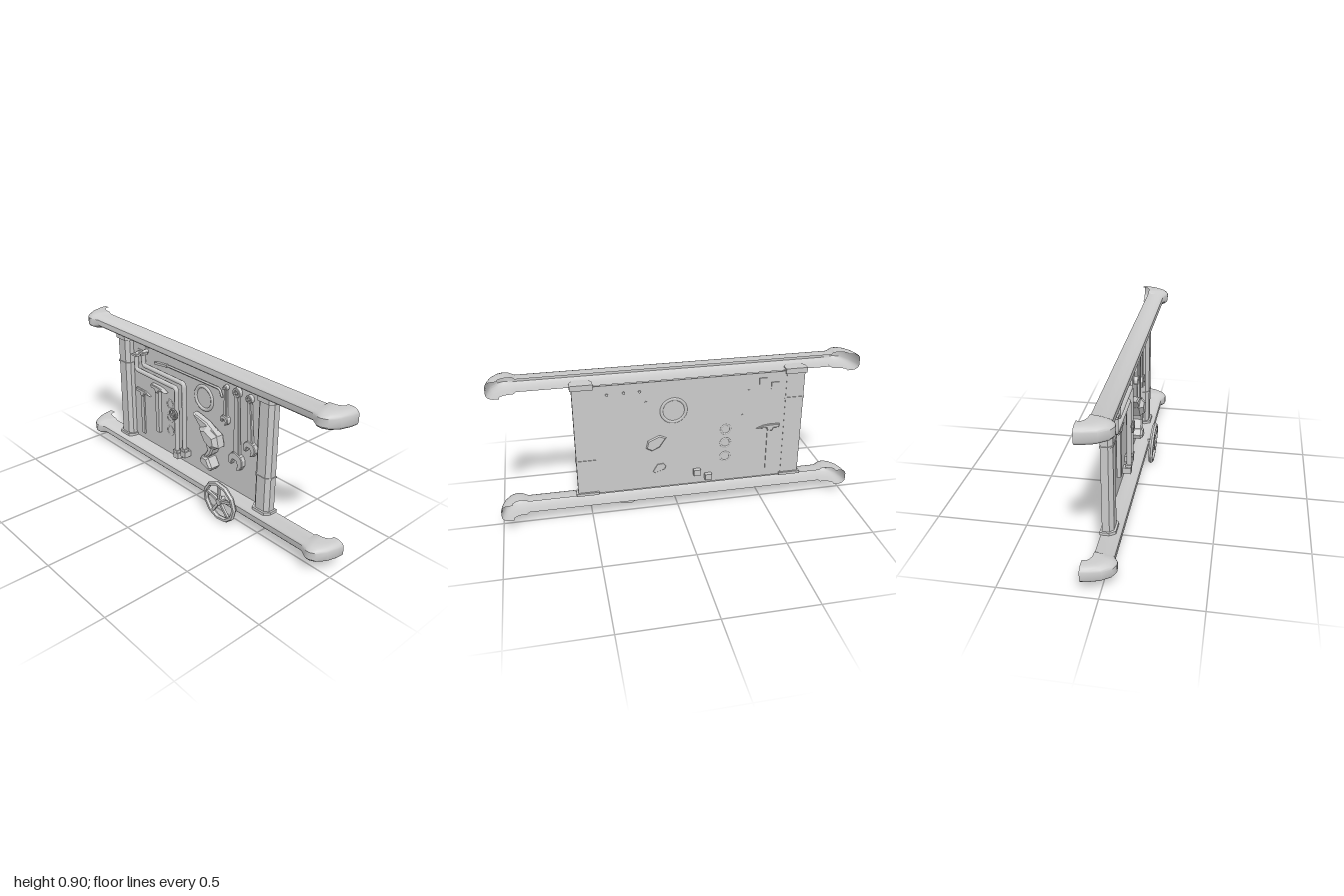
import * as THREE from 'three';
import { toCreasedNormals } from 'three/addons/utils/BufferGeometryUtils.js';

const flat = new THREE.MeshStandardMaterial({ color: 0xcccccc, flatShading: true, side: THREE.DoubleSide });
const smooth = new THREE.MeshStandardMaterial({ color: 0xcccccc, side: THREE.DoubleSide });

function add(parent, name, geo, x = 0, y = 0, z = 0, mat = flat) {
  const m = new THREE.Mesh(geo, mat);
  m.name = name;
  m.position.set(x, y, z);
  parent.add(m);
  return m;
}
const box = (w, h, d) => new THREE.BoxGeometry(w, h, d);
const shapeOf = pts => new THREE.Shape(pts.map(p => new THREE.Vector2(p[0], p[1])));

// Extrusion centred on z = 0 with a small bevel kept inside the given depth
function slab(shape, depth, bevel = 0.004) {
  const g = new THREE.ExtrudeGeometry(shape, {
    depth: depth - 2 * bevel, bevelEnabled: bevel > 0, bevelThickness: bevel,
    bevelSize: bevel, bevelOffset: -bevel, bevelSegments: 1, curveSegments: 8,
  });
  return g.translate(0, 0, -depth / 2 + bevel);
}

// Open-backed rail whose flared ends curl to the rear
function railGeometry() {
  // inner x, inner z, outer x, outer z, half height
  const half = [
    [0.85, -0.045, 0.85, 0.05, 0.035],
    [0.865, -0.045, 0.89, 0.072, 0.046],
    [0.895, -0.045, 0.915, 0.073, 0.047],
    [0.91, -0.05, 0.945, 0.058, 0.047],
    [0.925, -0.058, 0.978, 0.01, 0.047],
    [0.935, -0.07, 0.995, -0.05, 0.047],
    [0.935, -0.09, 1.0, -0.09, 0.047],
  ];
  const stations = [...half.map(([a, b, c, d, h]) => [-a, b, -c, d, h]).reverse(), ...half];
  const quarter = [[0, 1], [0.45, 1], [0.65, 0.94], [0.82, 0.82], [0.94, 0.65], [1, 0.45]];
  const profile = [...quarter, ...quarter.map(([t, y]) => [t, -y]).reverse()];
  const pos = [], idx = [], n = profile.length;
  stations.forEach(([ix, iz, ox, oz, h], i) => profile.forEach(([t, y], j) => {
    pos.push(ix + (ox - ix) * t, y * h, iz + (oz - iz) * t);
    if (i && j) {
      const d = i * n + j, c = d - 1, b = d - n, a = b - 1;
      idx.push(a, b, c, c, b, d);
    }
  }));
  const g = new THREE.BufferGeometry();
  g.setAttribute('position', new THREE.Float32BufferAttribute(pos, 3));
  g.setIndex(idx);
  return toCreasedNormals(g, 0.6);
}

// Flat-backed post section in x/z, grown by e, running from y0 to y1
function postGeometry(y0, y1, e = 0) {
  const s = shapeOf([[-0.052 - e, 0.04 + e], [-0.052 - e, 0.003], [-0.03 - e, -0.017 - e],
    [0.03 + e, -0.017 - e], [0.052 + e, 0.003], [0.052 + e, 0.04 + e]]);
  return new THREE.ExtrudeGeometry(s, { depth: y1 - y0, bevelEnabled: false })
    .rotateX(-Math.PI / 2).scale(1, 1, 1).translate(0, y0, 0);
}

function post(x, bandY) {
  const g = new THREE.Group();
  g.name = 'post';
  g.position.x = x;
  add(g, 'postShaft', postGeometry(0.16, 0.83));
  add(g, 'postTopCollar', postGeometry(0.8, 0.83, 0.009));
  add(g, 'postFoot', postGeometry(0.16, 0.176, 0.011));
  add(g, 'postBand', postGeometry(bandY - 0.004, bandY + 0.004, 0.004));
  return g;
}

function hammer(x, top, length, z) {
  const g = new THREE.Group();
  g.name = 'hammer';
  g.position.set(x, top, z);
  add(g, 'hammerHandle', box(0.03, length, 0.022), 0, -length / 2);
  add(g, 'hammerHead', slab(shapeOf([[-0.055, -0.013], [-0.055, 0.011], [0, 0.011], [0.04, 0.007],
    [0.08, -0.009], [0.02, -0.011], [0.014, -0.03], [-0.014, -0.03], [-0.02, -0.013]]), 0.03));
  return g;
}

// Ring at the top, tapered shank and an open jaw below
function wrench(x, top, dx, length, r) {
  const g = new THREE.Group();
  g.name = 'wrench';
  g.position.set(x, top, -0.018);
  g.rotation.z = Math.atan2(dx, length);
  const ring = new THREE.Shape().absarc(0, 0, r * 0.5, 0, Math.PI * 2);
  ring.holes.push(new THREE.Path().absarc(0, 0, r * 0.22, 0, Math.PI * 2));
  add(g, 'wrenchRing', slab(ring, 0.026, 0.003));
  const a = r * 0.28, b = r * 0.42, e = -length + r * 0.7;
  add(g, 'wrenchShank', slab(shapeOf([[-a, -r * 0.35], [-b, e], [b, e], [a, -r * 0.35]]), 0.02));
  const jaw = shapeOf([[-0.45, 0.8], [-0.85, 0.4], [-1, -0.1], [-0.8, -0.85], [-0.4, -0.8], [-0.35, -0.1],
    [0.05, 0], [0.4, -0.3], [0.45, -1], [0.85, -0.65], [1, 0], [0.8, 0.5], [0.45, 0.8]].map(p => [p[0] * r, p[1] * r]));
  add(g, 'wrenchJaw', slab(jaw, 0.03), 0, -length).rotation.z = -0.35;
  add(g, 'wrenchPeg', new THREE.CylinderGeometry(0.008, 0.008, 0.05, 8).rotateX(Math.PI / 2), 0, 0, -0.002);
  return g;
}

// Tube along straight runs with rounded corners
function bentTube(pts, radius, bend, sides = 8) {
  const v = pts.map(p => new THREE.Vector3(...p));
  const path = new THREE.CurvePath();
  let from = v[0];
  for (let i = 1; i < v.length - 1; i++) {
    const toward = q => v[i].clone().add(q.clone().sub(v[i]).setLength(bend));
    const a = toward(v[i - 1]), b = toward(v[i + 1]);
    path.add(new THREE.LineCurve3(from, a));
    path.add(new THREE.QuadraticBezierCurve3(a, v[i], b));
    from = b;
  }
  path.add(new THREE.LineCurve3(from, v[v.length - 1]));
  return new THREE.TubeGeometry(path, 120, radius, sides);
}

// Pipe that leaves and re-enters the panel through square flanges
function pipe(x0, top, level, x1, bottom) {
  const g = new THREE.Group();
  g.name = 'pipe';
  const z = 0.002;
  add(g, 'pipeTube', bentTube([[x0, top, -0.04], [x0, top, z], [x0, level, z], [x1, level, z],
    [x1, bottom, z], [x1, bottom, -0.04]], 0.014, 0.022), 0, 0, 0, smooth);
  add(g, 'pipeTopFlange', box(0.042, 0.042, 0.016), x0, top, -0.036);
  add(g, 'pipeTopCollar', box(0.042, 0.012, 0.034), x0, top - 0.005, 0.002);
  add(g, 'pipeBottomFlange', box(0.04, 0.036, 0.08), x1, bottom, -0.024);
  add(g, 'pipeBottomCollar', box(0.036, 0.014, 0.034), x1, bottom + 0.03, z);
  return g;
}

// Spoked hand wheel in the x/y plane
function wheel(name, r, tube, spokes, hubDepth) {
  const g = new THREE.Group();
  g.name = name;
  add(g, 'wheelRim', new THREE.TorusGeometry(r - tube, tube, 6, 11));
  for (let i = 0; i < spokes; i++) {
    const a = 0.35 + i * Math.PI * 2 / spokes;
    add(g, 'wheelSpoke', box(r - tube, tube * 1.1, tube), Math.cos(a) * (r - tube) / 2,
      Math.sin(a) * (r - tube) / 2).rotation.z = a;
  }
  add(g, 'wheelHub', new THREE.CylinderGeometry(tube * 1.4, tube * 1.4, hubDepth, 8).rotateX(Math.PI / 2), 0, 0, -hubDepth / 4);
  return g;
}

export function createModel() {
  const model = new THREE.Group();
  model.name = 'toolBoard';

  // Frame and board
  const rail = railGeometry();
  add(model, 'topRail', rail, 0, 0.858, 0, smooth);
  add(model, 'bottomRail', rail, 0, 0.126, 0, smooth);
  add(model, 'panel', box(1.13, 0.65, 0.008), -0.07, 0.489, -0.034);
  model.add(post(-0.658, 0.652), post(0.522, 0.375));

  // Large hand wheel on the bottom rail
  const big = wheel('handWheel', 0.126, 0.014, 5, 0.05);
  big.position.set(0.28, 0.13, 0.076);
  big.rotation.x = 0.05;
  model.add(big);

  // Pipes with a small valve
  model.add(pipe(-0.54, 0.735, 0.636, -0.168, 0.205), pipe(-0.47, 0.765, 0.685, -0.102, 0.24));
  const valve = wheel('valveWheel', 0.036, 0.006, 4, 0.03);
  valve.position.set(-0.17, 0.48, 0.026);
  model.add(valve);

  // Hung tools
  model.add(hammer(-0.525, 0.488, 0.285, -0.032), hammer(-0.36, 0.57, 0.29, -0.016));
  model.add(wrench(0.215, 0.765, 0, 0.185, 0.03), wrench(0.3, 0.765, 0.01, 0.395, 0.055),
    wrench(0.39, 0.76, 0.018, 0.275, 0.045));
  add(model, 'hookRod', bentTube([[-0.39, 0.718, -0.02], [-0.26, 0.735, -0.02], [0.165, 0.74, -0.02],
    [0.182, 0.698, -0.02]], 0.007, 0.02, 6), 0, 0, 0, smooth);
  add(model, 'rodGrip', box(0.11, 0.014, 0.018), -0.33, 0.726, -0.02).rotation.z = 0.13;
  for (const [x, y] of [[-0.39, 0.718], [0.182, 0.7], [-0.36, 0.57]])
    add(model, 'peg', new THREE.CylinderGeometry(0.006, 0.006, 0.026, 8).rotateX(Math.PI / 2), x, y, -0.03);

  // Hoops
  add(model, 'largeHoop', new THREE.TorusGeometry(0.068, 0.011, 8, 24), 0.03, 0.636, -0.032, smooth);
  for (const y of [0.49, 0.406, 0.318])
    add(model, 'smallHoop', new THREE.TorusGeometry(0.028, 0.007, 6, 16), -0.267, y, -0.034, smooth);

  // Spray gun with nozzle, body and curved grip
  const gun = new THREE.Group();
  gun.name = 'sprayGun';
  add(gun, 'gunNozzle', slab(shapeOf([[-0.012, 0.546], [0.1, 0.525], [0.19, 0.475], [0.17, 0.44], [0.06, 0.47]]), 0.045, 0.008));
  add(gun, 'gunBody', slab(shapeOf([[0.05, 0.48], [0.11, 0.51], [0.19, 0.475], [0.205, 0.41], [0.155, 0.38],
    [0.1, 0.405]]), 0.088, 0.022));
  add(gun, 'gunGrip', slab(shapeOf([[0.11, 0.41], [0.122, 0.37], [0.095, 0.325], [0.08, 0.305], [0.115, 0.315],
    [0.15, 0.35], [0.17, 0.4]]), 0.066, 0.008));
  add(gun, 'gunBase', slab(shapeOf([[0.085, 0.325], [0.064, 0.295], [0.075, 0.267], [0.145, 0.243],
    [0.162, 0.268], [0.13, 0.32]]), 0.08, 0.012));
  model.add(gun);
  return model;
}
